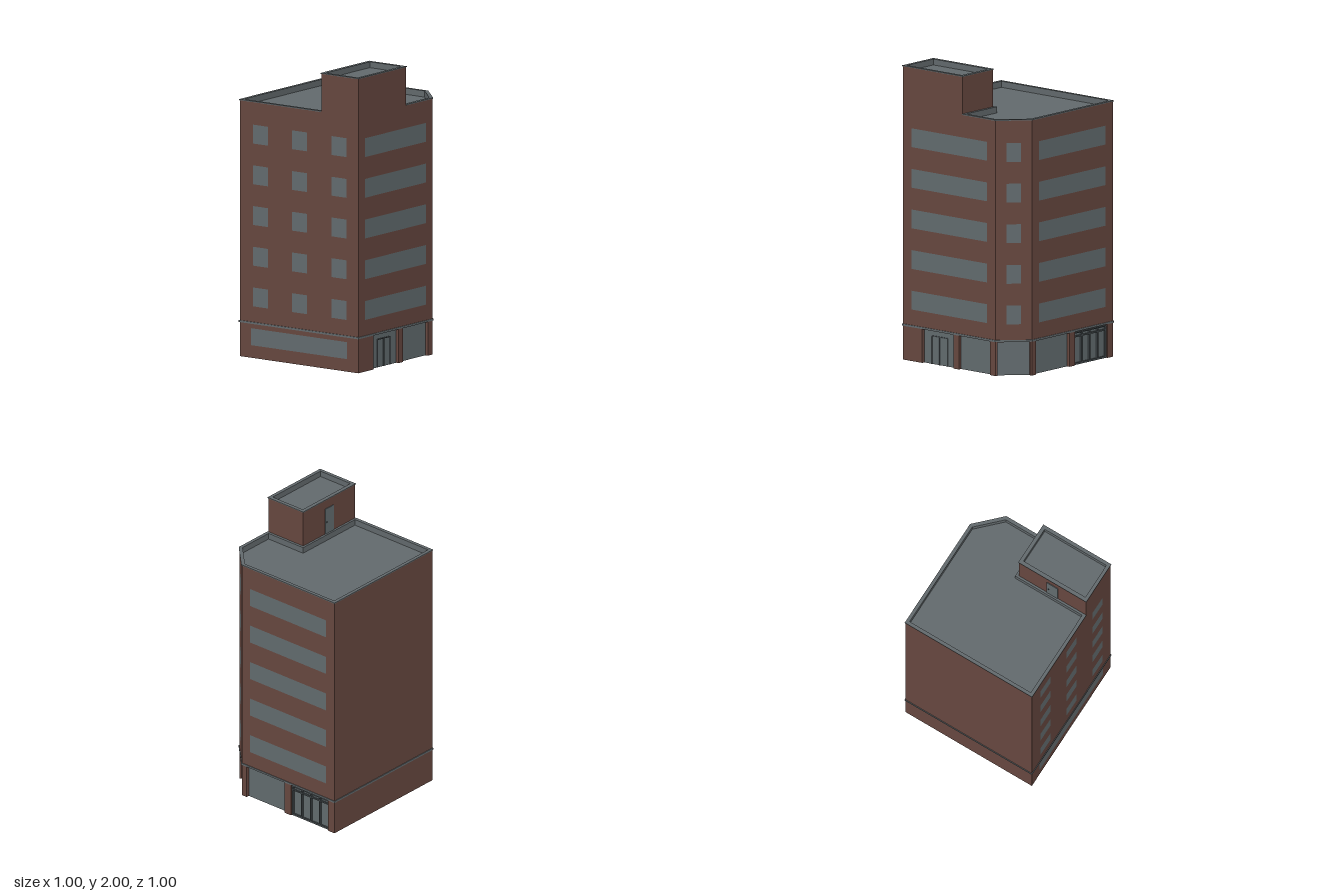
import * as THREE from 'three';

const H = 0.495, C = 0.322;            // half width, start of the cut corner
const BASE = 0.235, TOP = 1.74, TOWER = 2;
const TX = 0.03, TZ = 0.187;           // inner corner of the stair tower
const RECESS = 0.024;

const mat = (name, color) => {
  const m = new THREE.MeshStandardMaterial({ color, side: THREE.DoubleSide });
  m.name = name;
  return m;
};

export function createModel() {
  const brick = mat('brick', 0x66473f);
  const grey = mat('roofGrey', 0x62696c);
  const glass = mat('glass', 0x626b6e);
  const frame = mat('frame', 0x454c4f);
  const building = new THREE.Group();
  building.name = 'cornerBuilding';

  const add = (parent, name, geo, material, x = 0, y = 0, z = 0) => {
    const m = new THREE.Mesh(geo, material);
    m.name = name;
    m.position.set(x, y, z);
    parent.add(m);
    return m;
  };
  // box given by its extents in x and y
  const bar = (parent, name, material, x0, x1, y0, y1, z, depth) =>
    add(parent, name, new THREE.BoxGeometry(x1 - x0, y1 - y0, depth), material, (x0 + x1) / 2, (y0 + y1) / 2, z);
  const pane = (parent, name, x0, x1, y0, y1, z = 0) =>
    add(parent, name, new THREE.PlaneGeometry(x1 - x0, y1 - y0), glass, (x0 + x1) / 2, (y0 + y1) / 2, z);
  const vecs = (pts) => pts.map(([x, y]) => new THREE.Vector2(x, y));

  // horizontal slab or ring from footprints in (x, z)
  const slab = (name, outer, inner, y0, y1, material) => {
    const flip = (pts) => vecs(pts.map(([x, z]) => [x, -z]));
    const shape = new THREE.Shape(flip(outer));
    if (inner) shape.holes.push(new THREE.Path(flip(inner)));
    const geo = new THREE.ExtrudeGeometry(shape, { depth: y1 - y0, bevelEnabled: false });
    geo.rotateX(-Math.PI / 2);
    return add(building, name, geo, material, 0, y0, 0);
  };

  // wall from a to b (left to right seen from outside), local z points outward
  const wall = (name, a, b, { y0 = 0, y1 = TOP, profile, windows = [], openings = [] }) => {
    const g = new THREE.Group();
    g.name = name;
    const dx = b[0] - a[0], dz = b[1] - a[1], len = Math.hypot(dx, dz);
    g.position.set(a[0], 0, a[1]);
    g.rotation.y = Math.atan2(-dz, dx);
    building.add(g);
    const bottom = openings.length ? BASE : y0;
    const shape = new THREE.Shape(vecs(profile || [[0, bottom], [len, bottom], [len, y1], [0, y1]]));
    for (const [u0, u1, v0, v1] of windows) {
      shape.holes.push(new THREE.Path(vecs([[u0, v0], [u0, v1], [u1, v1], [u1, v0]])));
      pane(g, 'window', u0, u1, v0, v1);
    }
    add(g, 'brickFace', new THREE.ShapeGeometry(shape), brick);
    // ground floor: recessed glazing between piers
    let u = 0;
    for (const [u0, u1] of openings) {
      bar(g, 'pier', brick, u, u0, 0, BASE, -RECESS / 2, RECESS);
      pane(g, 'shopGlass', u0, u1, 0, BASE, -RECESS + 0.002);
      bar(g, 'soffit', brick, u0, u1, BASE - 0.006, BASE, -RECESS / 2, RECESS);
      u = u1;
    }
    if (openings.length) bar(g, 'pier', brick, u, len, 0, BASE, -RECESS / 2, RECESS);
    return g;
  };

  // the same window columns on all five floors
  const floors = (columns) => {
    const list = [];
    for (let i = 0; i < 5; i++)
      for (const [u0, u1] of columns) list.push([u0, u1, 0.35 + i * 0.276, 0.478 + i * 0.276]);
    return list;
  };

  // outer walls; front and left ones rise into the tower
  const front = wall('frontWall', [-H, H], [C, H], {
    profile: [[0, BASE], [C + H, BASE], [C + H, TOP], [TX + H, TOP], [TX + H, TOWER], [0, TOWER]],
    windows: floors([[0.075, 0.745]]),
    openings: [[0.17, 0.445], [0.495, 0.77]],
  });
  wall('cornerWall', [C, H], [H, C], {
    windows: floors([[0.073, 0.172]]),
    openings: [[0.014, 0.231]],
  });
  const right = wall('rightWall', [H, C], [H, -H], {
    windows: floors([[0.072, 0.742]]),
    openings: [[0.042, 0.377], [0.432, 0.762]],
  });
  wall('backWall', [H, -H], [-H, -H], {});
  wall('leftWall', [-H, -H], [-H, H], {
    profile: [[0, 0], [2 * H, 0], [2 * H, TOWER], [TZ + H, TOWER], [TZ + H, TOP], [0, TOP]],
    windows: [...floors([[0.11, 0.235], [0.435, 0.56], [0.765, 0.89]]), [0.095, 0.895, 0.085, 0.2]],
  });

  // front entrance: double door lines
  const fz = -RECESS + 0.005;
  bar(front, 'doorMeeting', frame, 0.302, 0.308, 0, 0.19, fz, 0.006);
  bar(front, 'doorHead', frame, 0.237, 0.375, 0.187, 0.193, fz, 0.006);
  for (const u of [0.237, 0.375]) bar(front, 'doorJamb', glass, u - 0.003, u + 0.003, 0, 0.19, fz, 0.006);

  // side entrance: four framed panels with a transom
  for (let i = 0; i <= 4; i++) {
    const u = 0.438 + i * 0.0795;
    bar(right, 'mullion', frame, u - 0.006, u + 0.006, 0, 0.22, -0.016, 0.012);
  }
  for (const [y0, y1] of [[0, 0.013], [0.187, 0.197], [0.213, 0.22]])
    bar(right, 'rail', frame, 0.432, 0.762, y0, y1, -0.016, 0.011);

  // stair tower inner walls and roof door
  wall('towerSideWall', [TX, H], [TX, TZ], { y0: 1.7, y1: TOWER });
  const towerBack = wall('towerBackWall', [TX, TZ], [-H, TZ], { y0: 1.7, y1: TOWER });
  bar(towerBack, 'roofDoor', glass, 0.22, 0.305, 1.7, 1.93, 0.002, 0.006);
  bar(towerBack, 'doorHandle', frame, 0.23, 0.238, 1.825, 1.833, 0.006, 0.008);

  // moulding above the ground floor
  const outline = (h, c) => [[-h, -h], [h, -h], [h, c], [c, h], [-h, h]];
  slab('moulding', outline(0.5, 0.324), outline(H - 0.001, C), 0.231, 0.244, grey);

  // roofs, parapet linings and copings
  const mainOuter = (h, c, x, z) => [[-h, -h], [h, -h], [h, c], [c, h], [x, h], [x, z], [-h, z]];
  const mainInner = mainOuter(0.475, 0.313, 0.05, 0.17);
  const rect = (x0, x1, z0, z1) => [[x0, z0], [x1, z0], [x1, z1], [x0, z1]];
  const towerInner = rect(-0.475, 0.008, 0.21, 0.475);
  slab('mainRoof', mainOuter(0.49, 0.32, TX, TZ), null, 1.695, 1.7, grey);
  slab('mainParapet', mainOuter(0.493, 0.321, TX + 0.002, TZ - 0.002), mainInner, 1.7, 1.736, grey);
  slab('mainCoping', mainOuter(0.499, 0.324, TX + 0.002, TZ - 0.002), mainInner, 1.735, 1.742, grey);
  slab('towerRoof', rect(-0.49, TX - 0.003, TZ + 0.003, 0.49), null, 1.955, 1.96, grey);
  slab('towerParapet', rect(-0.493, TX - 0.002, TZ + 0.002, 0.493), towerInner, 1.96, 1.995, grey);
  slab('towerCoping', rect(-0.499, TX + 0.004, TZ - 0.004, 0.499), towerInner, 1.994, 2, grey);

  return building;
}
